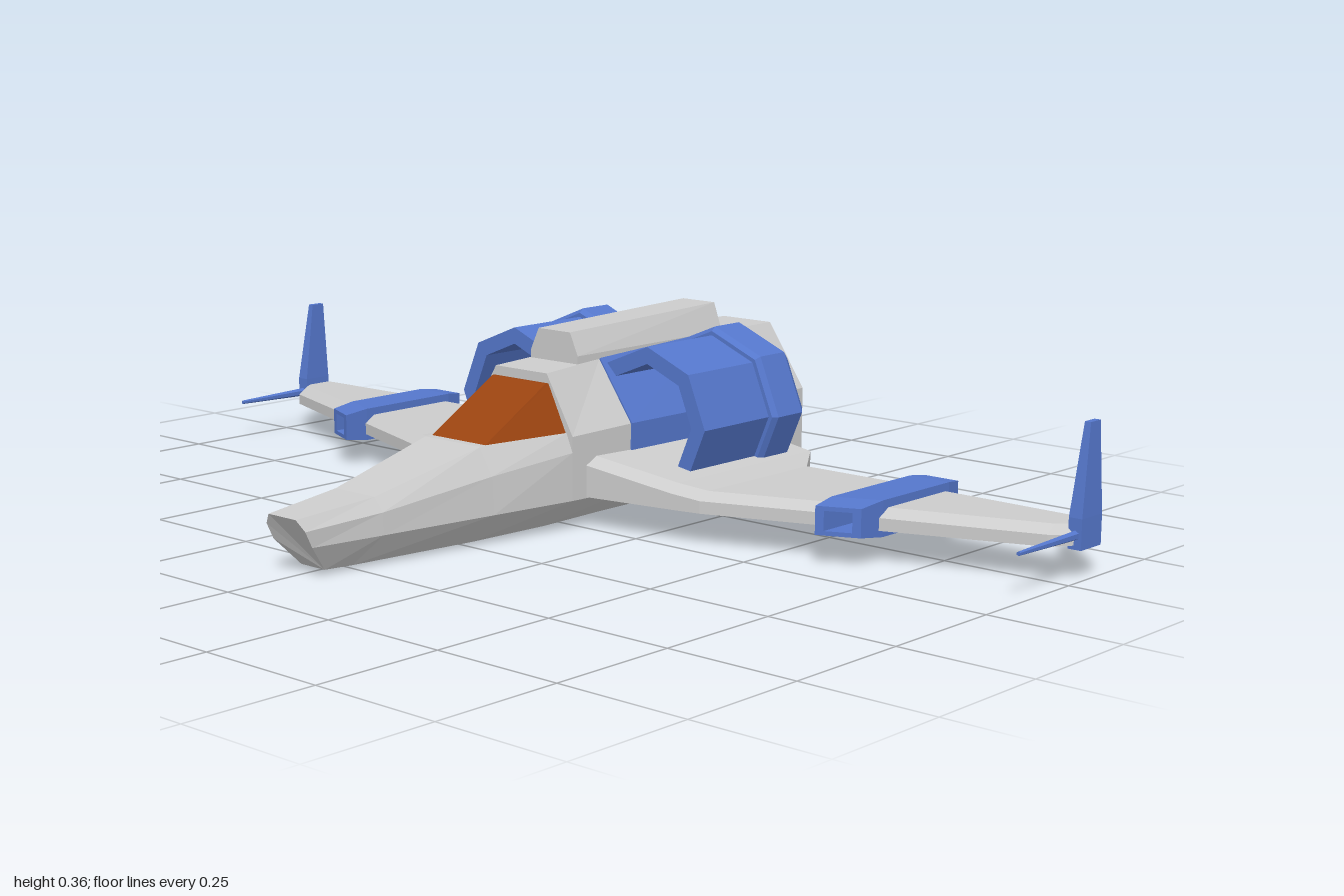
import * as THREE from 'three';

const material = (color) => new THREE.MeshStandardMaterial({ color, flatShading: true });

// Joins loops of [x, y, z] points into a faceted solid; a ring joins its last loop to the first.
function loft(loops, ring = false) {
  const pos = [];
  let volume = 0;
  const tri = (a, b, c) => {
    const [A, B, C] = [a, b, c].map((p) => new THREE.Vector3(...p));
    const area = B.clone().sub(A).cross(C.clone().sub(A)).length();
    if (area < 1e-8) return;
    volume += A.dot(B.clone().cross(C));
    pos.push(...a, ...b, ...c);
  };
  const n = loops[0].length;
  const count = ring ? loops.length : loops.length - 1;
  for (let i = 0; i < count; i++) {
    const p = loops[i], q = loops[(i + 1) % loops.length];
    for (let j = 0; j < n; j++) {
      const k = (j + 1) % n;
      tri(p[j], p[k], q[k]);
      tri(p[j], q[k], q[j]);
    }
  }
  if (!ring) {
    const a = loops[0], b = loops[loops.length - 1];
    for (let j = 1; j < n - 1; j++) {
      tri(a[0], a[j + 1], a[j]);
      tri(b[0], b[j], b[j + 1]);
    }
  }
  // Turn the faces outward
  if (volume < 0) {
    for (let i = 0; i < pos.length; i += 9) {
      for (let k = 3; k < 6; k++) [pos[i + k], pos[i + k + 3]] = [pos[i + k + 3], pos[i + k]];
    }
  }
  const geometry = new THREE.BufferGeometry();
  geometry.setAttribute('position', new THREE.Float32BufferAttribute(pos, 3));
  geometry.computeVertexNormals();
  return geometry;
}

// Symmetric eight-sided hull section from four [half width, y] pairs, bottom to top
function hullLoop(z, ...pairs) {
  const zs = Array.isArray(z) ? z : [z, z, z, z];
  const right = pairs.map(([x, y], i) => [x, y, zs[i]]);
  return [...right, ...right.map(([x, y, d]) => [-x, y, d]).reverse()];
}

export function createModel() {
  const model = new THREE.Group();
  const grey = material(0xcccccc), blue = material(0x5577cc), orange = material(0x9a4310);
  const add = (name, geometry, mat, parent = model) => {
    const mesh = new THREE.Mesh(geometry, mat);
    mesh.name = name;
    parent.add(mesh);
    return mesh;
  };

  // Fuselage, folding inward at the tail to form the exhaust recess
  const inner = [[0.045, 0.045], [0.108, 0.085], [0.108, 0.18], [0.045, 0.27]];
  add('fuselage', loft([
    hullLoop([0.56, 0.605, 0.62, 0.628], [0.03, 0.01], [0.05, 0.06], [0.05, 0.09], [0.035, 0.11]),
    hullLoop([0.5, 0.46, 0.46, 0.46], [0.035, 0.008], [0.072, 0.06], [0.07, 0.1], [0.05, 0.125]),
    hullLoop(0.22, [0.05, 0.002], [0.105, 0.06], [0.1, 0.13], [0.07, 0.18]),
    hullLoop(0.04, [0.06, 0.002], [0.13, 0.06], [0.13, 0.15], [0.115, 0.185]),
    hullLoop(0.04, [0.06, 0.002], [0.13, 0.06], [0.13, 0.18], [0.065, 0.29]),
    hullLoop(-0.11, [0.06, 0.004], [0.14, 0.06], [0.14, 0.185], [0.06, 0.298]),
    hullLoop(-0.42, [0.06, 0.004], [0.146, 0.06], [0.146, 0.185], [0.06, 0.31]),
    hullLoop(-0.628, [0.06, 0.004], [0.146, 0.06], [0.146, 0.185], [0.06, 0.31]),
    hullLoop(-0.628, ...inner),
    hullLoop(-0.5, ...inner),
  ]), grey);
  add('exhaustPlate', loft([hullLoop(-0.499, ...inner), hullLoop(-0.504, ...inner)]), orange);

  // Canopy wedge
  add('canopy', loft([
    [[-0.068, 0.18, 0.205], [0.068, 0.18, 0.205], [0.115, 0.182, 0.038], [-0.115, 0.182, 0.038]],
    [[-0.068, 0.272, 0.046], [0.068, 0.272, 0.046], [0.07, 0.272, 0.038], [-0.07, 0.272, 0.038]],
  ]), orange);

  // Dorsal spine
  const spine = (z, top) => [[0.06, 0.28, z], [0.06, 0.31, z], [0.04, top, z],
    [-0.04, top, z], [-0.06, 0.31, z], [-0.06, 0.28, z]];
  add('dorsalSpine', loft([spine(-0.05, 0.353), spine(-0.473, 0.365)]), grey);

  // Wing section: blunt leading edge, flat underside
  const wingLoop = (x, front, back, top, nose = 0.025) => [
    [x, 0.062, front], [x, top - 0.015, front], [x, top, front - nose],
    [x, top, back], [x, 0.062, back],
  ];
  // Partial octagonal shell swept from [radius, z] pairs, open toward the fuselage
  const shell = (profile) => {
    const loops = [];
    for (let i = -1; i <= 3; i++) {
      const a = i * Math.PI / 4;
      loops.push(profile.map(([r, z]) => [0.17 + r * Math.cos(a), 0.192 + r * Math.sin(a), z]));
    }
    return loft(loops);
  };

  const buildSide = (name) => {
    const side = new THREE.Group();
    side.name = name;

    // Wing in two panels, with the square duct between them
    add('innerWing', loft([
      wingLoop(0.06, 0.012, -0.44, 0.145),
      wingLoop(0.13, 0.005, -0.44, 0.137),
      wingLoop(0.31, -0.024, -0.44, 0.107),
      wingLoop(0.37, -0.035, -0.35, 0.1),
      wingLoop(0.61, -0.123, -0.35, 0.1),
    ]), grey, side);
    add('outerWing', loft([
      wingLoop(0.668, -0.144, -0.35, 0.1),
      wingLoop(0.955, -0.25, -0.35, 0.098),
      wingLoop(0.985, -0.29, -0.35, 0.096),
    ]), grey, side);

    // Square duct: one lengthwise strip per corner, joined in a ring
    const duct = [[-1, -1], [1, -1], [1, 1], [-1, 1]].map(([sx, sy]) => {
      const at = (w, h, z) => [0.639 + sx * w, 0.082 + sy * h, z - (z > -0.2 ? sx * w * 0.45 : 0)];
      return [at(0.037, 0.026, -0.085), at(0.042, 0.033, -0.14), at(0.042, 0.033, -0.36),
        at(0.035, 0.028, -0.4), at(0.023, 0.018, -0.4), at(0.023, 0.018, -0.085)];
    });
    add('wingDuct', loft(duct, true), blue, side);

    // Engine cowl and its larger rear collar
    add('engineCowl', shell([[0.14, -0.12], [0.14, -0.33], [0.108, -0.33], [0.108, -0.12]]), blue, side);
    add('engineCollar', shell([[0.148, -0.308], [0.156, -0.318], [0.156, -0.39],
      [0.125, -0.43], [0.108, -0.43], [0.108, -0.308]]), blue, side);

    // Blue panel on the fuselage flank
    const panel = (z, w, top) => [[w, 0.062, z], [w, 0.186, z], [0.062, top, z],
      [0.055, top - 0.01, z], [0.1, 0.18, z], [0.1, 0.062, z]];
    add('flankPanel', loft([panel(-0.11, 0.143, 0.3), panel(-0.42, 0.149, 0.312),
      panel(-0.473, 0.149, 0.312)]), blue, side);

    // Wing tip fin, tapering upward
    const finLoop = (y, x, w, front, back) => [[x - w, y, front], [x + w, y, front],
      [x + w, y, back], [x - w, y, back]];
    add('tipFin', loft([
      finLoop(0.055, 0.985, 0.013, -0.288, -0.352),
      finLoop(0.11, 0.985, 0.013, -0.288, -0.352),
      finLoop(0.273, 0.985, 0.006, -0.315, -0.346),
    ]), blue, side);

    // Forward rod at the wing tip
    const rod = add('tipRod', new THREE.CylinderGeometry(0.004, 0.009, 0.185, 6), blue, side);
    rod.rotation.x = Math.PI / 2;
    rod.position.set(0.985, 0.08, -0.206);
    return side;
  };

  // Mirror the left side to make the right, rewinding the faces
  model.add(buildSide('leftSide'));
  const right = buildSide('rightSide');
  right.scale.x = -1;
  model.add(right);
  return model;
}
